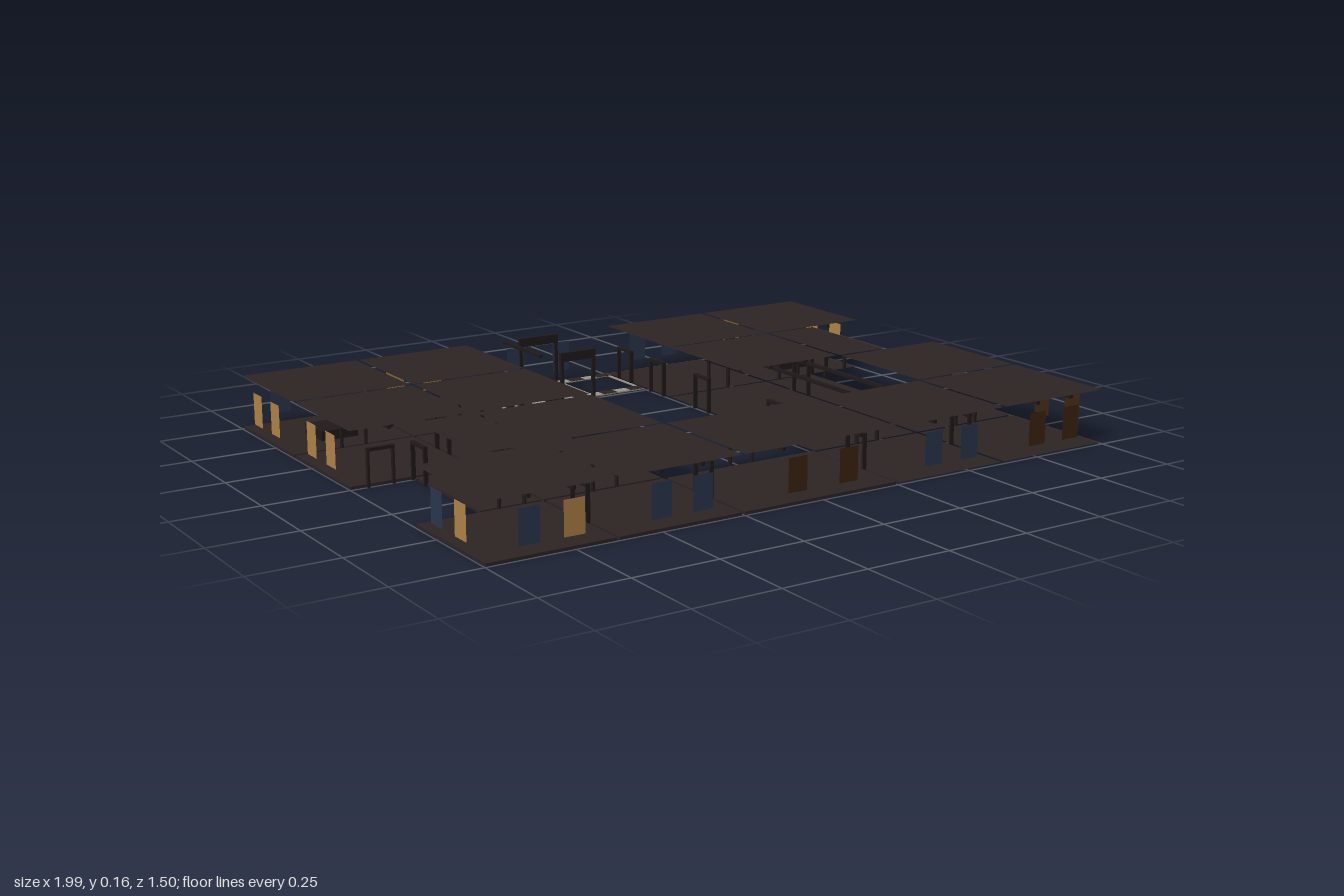
import * as THREE from 'three';

const mat = (name, color, side = THREE.FrontSide) => {
  const m = new THREE.MeshStandardMaterial({ color, side });
  m.name = name;
  return m;
};

export function createModel() {
  const root = new THREE.Group();
  const slab = mat('dark slab', 0x2d2424, THREE.DoubleSide);
  const trim = mat('dark trim', 0x211a1a);
  const stone = mat('pale stone', 0x9c958a);
  const blue = mat('blue shutter', 0x2b3750, THREE.DoubleSide);
  const tan = mat('tan shutter', 0xb08347, THREE.DoubleSide);
  const brown = mat('brown shutter', 0x3d2412, THREE.DoubleSide);

  const group = (name, parent = root) => {
    const g = new THREE.Group();
    g.name = name;
    parent.add(g);
    return g;
  };
  // Box given by its extents
  const box = (parent, name, m, x0, x1, y0, y1, z0, z1) => {
    const mesh = new THREE.Mesh(new THREE.BoxGeometry(x1 - x0, y1 - y0, z1 - z0), m);
    mesh.position.set((x0 + x1) / 2, (y0 + y1) / 2, (z0 + z1) / 2);
    mesh.name = name;
    parent.add(mesh);
  };
  // Horizontal sheet with no thickness
  const sheet = (parent, name, m, x0, x1, y, z0, z1) => {
    const mesh = new THREE.Mesh(new THREE.PlaneGeometry(x1 - x0, z1 - z0).rotateX(-Math.PI / 2), m);
    mesh.position.set((x0 + x1) / 2, y, (z0 + z1) / 2);
    mesh.name = name;
    parent.add(mesh);
  };

  // Room tiles: floor, flat roof and two roof beams each
  const cols = [[-0.995, -0.632], [-0.622, -0.257], [-0.247, 0.247], [0.257, 0.622], [0.632, 0.993]];
  const rows = [[-0.745, -0.38], [-0.372, -0.006], [0.006, 0.37], [0.38, 0.745]];
  const rooms = group('rooms');
  rows.forEach(([z0, z1], r) => cols.forEach(([a, b], c) => {
    if (c === 2 && r < 3) return; // courtyard and gatehouse
    let [x0, x1] = [a, b];
    if (c === 0 && r === 2) x0 = -0.81;
    if (c === 4 && r === 1) x1 = 0.805;
    const room = group('room', rooms);
    if (c < 3) box(room, 'floor', slab, x0, x1, 0, 0.008, z0, z1);
    else sheet(room, 'floor', slab, x0, x1, 0.004, z0, z1);
    if (!(c === 3 && r === 2)) sheet(room, 'roof', slab, x0, x1, 0.161, z0, z1);
    for (const s of [-1, 1]) {
      const x = (a + b) / 2 + s * (c === 2 ? 0.125 : 0.0625);
      if (x > x0 && x < x1) box(room, 'roofBeam', trim, x - 0.005, x + 0.005, 0.15, 0.16, z0, z1);
    }
  }));

  // Low hearth blocks in the two back corner rooms
  for (const x of [-0.815, 0.81]) box(root, 'hearth', trim, x - 0.057, x + 0.057, 0.004, 0.036, -0.585, -0.47);

  // Door frames; alongX tells which way the wall runs
  const doors = group('doorFrames');
  const doorFrame = (x, z, alongX) => {
    const g = group('doorFrame', doors);
    for (const s of [-1, 1]) box(g, 'doorPost', trim, s * 0.037 - 0.003, s * 0.037 + 0.003, 0, 0.105, -0.006, 0.006);
    box(g, 'doorLintel', trim, -0.04, 0.04, 0.1, 0.109, -0.006, 0.006);
    g.position.set(x, 0, z);
    if (!alongX) g.rotation.y = Math.PI / 2;
  };
  const wallsX = [
    [-0.376, [-0.815, -0.44, 0.44, 0.715, 0.905]],
    [0, [-0.91]],
    [0.375, [-0.72, -0.44, 0, 0.44, 0.81]],
  ];
  const wallsZ = [
    [-0.627, [-0.5625, -0.19, 0.19, 0.5625]],
    [0.627, [-0.5625, -0.19, 0.5625]],
    [-0.252, [-0.63, -0.44, -0.19, 0.19, 0.5625]],
    [0.252, [-0.63, -0.44, -0.19, 0.19, 0.5625]],
    [-0.813, [0.035]],
    [0.81, [-0.34]],
  ];
  wallsX.forEach(([z, xs]) => xs.forEach((x) => doorFrame(x, z, true)));
  wallsZ.forEach(([x, zs]) => zs.forEach((z) => doorFrame(x, z, false)));

  // Shutter pairs around the outer walls
  const shutters = group('shutters');
  const leaf = new THREE.PlaneGeometry(0.06, 0.095);
  const pair = (x, z, alongX, m0, m1, gap = 0.0625) => {
    [m0, m1].forEach((m, i) => {
      const d = i ? gap : -gap;
      const mesh = new THREE.Mesh(leaf, m);
      mesh.name = 'shutter';
      mesh.position.set(x + (alongX ? d : 0), 0.0825, z + (alongX ? 0 : d));
      if (!alongX) mesh.rotation.y = Math.PI / 2;
      shutters.add(mesh);
    });
  };
  // front wall
  pair(-0.815, 0.748, true, blue, tan);
  pair(-0.44, 0.748, true, blue, blue);
  pair(0, 0.748, true, brown, brown, 0.083);
  pair(0.435, 0.748, true, blue, blue);
  pair(0.81, 0.748, true, brown, brown);
  // back wall
  pair(-0.815, -0.748, true, blue, blue);
  pair(-0.44, -0.748, true, tan, tan);
  pair(0, -0.748, true, blue, blue, 0.083);
  pair(0.435, -0.748, true, blue, blue);
  pair(0.81, -0.748, true, tan, blue);
  // side walls
  pair(0.996, 0.5625, false, brown, brown);
  pair(0.996, 0.19, false, blue, blue);
  pair(0.996, -0.5625, false, tan, tan);
  pair(-0.998, 0.5625, false, blue, tan);
  pair(-0.998, -0.185, false, tan, tan);
  pair(-0.998, -0.5625, false, tan, tan);

  // Gatehouse: chequered floor with a square opening
  const gate = group('gatehouse');
  const holeX = 0.068, holeZ0 = -0.712, holeZ1 = -0.545;
  box(gate, 'stoneFloor', stone, -0.247, holeX, 0.001, 0.005, -0.742, -0.51);
  box(gate, 'stoneRim', stone, holeX, 0.247, 0.001, 0.005, -0.742, holeZ0);
  box(gate, 'stoneRim', stone, holeX, 0.247, 0.001, 0.005, holeZ1, -0.51);
  box(gate, 'stoneRim', stone, 0.24, 0.247, 0.001, 0.005, holeZ0, holeZ1);
  for (let i = 0; i < 10; i++) {
    for (let j = 0; j < 5; j++) {
      const x0 = -0.247 + i * 0.0494, z = -0.742 + j * 0.0464;
      const rim = x0 > 0.04;
      if ((i + j) % 2 === 0 || (rim && j > 0 && j < 4)) continue;
      const z0 = rim && j === 4 ? holeZ1 : z;
      const z1 = rim && j === 0 ? holeZ0 : z + 0.0464;
      box(gate, 'darkTile', slab, x0, x0 + 0.0494, 0, 0.006, z0, z1);
    }
  }
  box(gate, 'gateBeam', trim, -0.13, -0.12, 0.15, 0.16, -0.742, -0.51);

  // Gate arches on the outer and courtyard sides
  for (const [z, w] of [[-0.748, 0.07], [-0.503, 0.062]]) {
    const arch = group('gateArch', gate);
    box(arch, 'archLintel', trim, -w, w, 0.13, 0.158, z - 0.006, z + 0.006);
    for (const s of [-1, 1]) {
      const x = s * (w - 0.006);
      box(arch, 'archPost', trim, x - 0.005, x + 0.005, 0, 0.13, z - 0.005, z + 0.005);
    }
  }
  return root;
}
